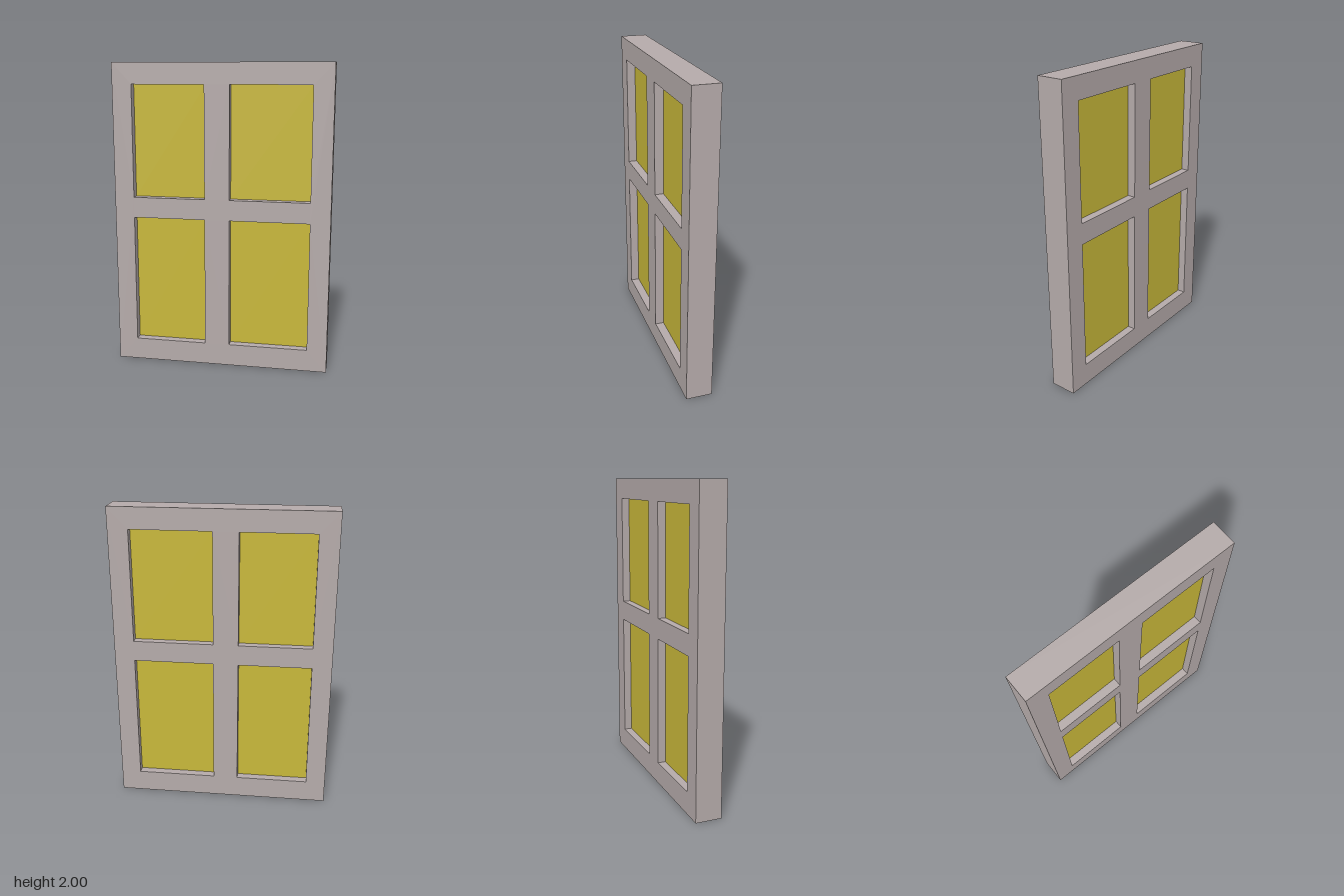
import * as THREE from 'three';

const WIDTH = 1.416, HEIGHT = 2, DEPTH = 0.17;
const COLUMNS = [[-0.58, -0.105], [0.058, 0.578]]; // left and right edges of the openings
const ROWS = [[0.145, 0.995], [1.13, 1.862]]; // bottom and top edges of the openings
const GLASS_BACK = -0.033, GLASS_FRONT = 0.028;

function rectangle(path, x0, x1, y0, y1) {
  path.moveTo(x0, y0);
  path.lineTo(x1, y0);
  path.lineTo(x1, y1);
  path.lineTo(x0, y1);
  path.closePath();
  return path;
}

export function createModel() {
  const frameMaterial = new THREE.MeshStandardMaterial({ color: 0xb5abaa });
  frameMaterial.name = 'warm grey';
  const glassMaterial = new THREE.MeshStandardMaterial({ color: 0xc8b83a });
  glassMaterial.name = 'yellow';

  const model = new THREE.Group();
  model.name = 'window';

  // Frame with four openings, and a recessed pane in each
  const outline = rectangle(new THREE.Shape(), -WIDTH / 2, WIDTH / 2, 0, HEIGHT);
  const panes = new THREE.Group();
  panes.name = 'panes';
  for (const [x0, x1] of COLUMNS) {
    for (const [y0, y1] of ROWS) {
      outline.holes.push(rectangle(new THREE.Path(), x0, x1, y0, y1));
      const pane = new THREE.Mesh(
        new THREE.BoxGeometry(x1 - x0, y1 - y0, GLASS_FRONT - GLASS_BACK),
        glassMaterial
      );
      pane.position.set((x0 + x1) / 2, (y0 + y1) / 2, (GLASS_FRONT + GLASS_BACK) / 2);
      pane.name = (y0 > 1 ? 'upper' : 'lower') + (x0 > 0 ? 'Left' : 'Right') + 'Pane';
      panes.add(pane);
    }
  }

  const frameGeometry = new THREE.ExtrudeGeometry(outline, { depth: DEPTH, bevelEnabled: false });
  frameGeometry.translate(0, 0, -DEPTH / 2);
  const frame = new THREE.Mesh(frameGeometry, frameMaterial);
  frame.name = 'frame';

  model.add(frame, panes);
  return model;
}
